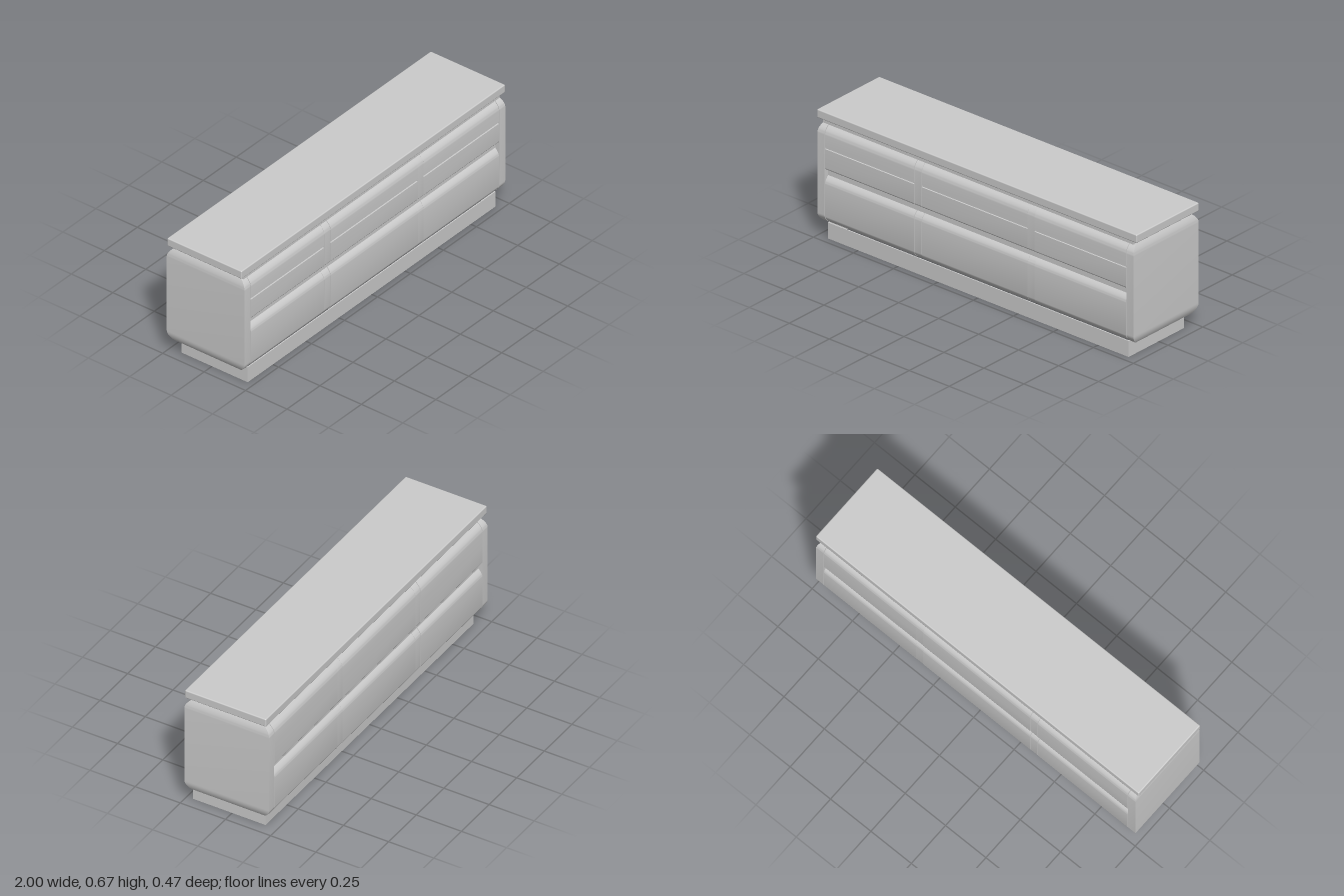
import * as THREE from 'three';
import { toCreasedNormals } from 'three/addons/utils/BufferGeometryUtils.js';
import { RoundedBoxGeometry } from 'three/addons/geometries/RoundedBoxGeometry.js';

const HALF_DEPTH = 0.235;
const BOTTOM = 0.083, TOP = 0.607;

export function createModel() {
  const model = new THREE.Group();
  const grey = new THREE.MeshStandardMaterial({ color: 0xcccccc });

  const add = (name, geometry, x = 0, y = 0, z = 0) => {
    const mesh = new THREE.Mesh(geometry, grey);
    mesh.name = name;
    mesh.position.set(x, y, z);
    model.add(mesh);
  };

  const box = (name, x0, x1, y0, y1, z0, z1) =>
    add(name, new THREE.BoxGeometry(x1 - x0, y1 - y0, z1 - z0),
      (x0 + x1) / 2, (y0 + y1) / 2, (z0 + z1) / 2);

  // Levels from bottom to top: height and how far front and back are set in
  function roundedLevels(y0, y1, low, high, groove) {
    const steps = 7, levels = [];
    for (let i = 0; i <= steps; i++) {
      const t = 1 - i / steps;
      levels.push({ y: y0 + low.h * (1 - t), front: low.d * t * t, back: low.d * t * t });
    }
    if (groove) {
      const a = groove - 0.005, b = groove + 0.005, e = 0.0005;
      [[a, 0], [a + e, 0.007], [b - e, 0.007], [b, 0]].forEach(([y, front]) =>
        levels.push({ y, front, back: 0 }));
    }
    for (let i = 0; i <= steps; i++) {
      const t = i / steps;
      levels.push({ y: y1 - high.h * (1 - t), front: high.d * t * t, back: high.d * t * t });
    }
    return levels;
  }

  // A box whose sides follow the levels; outer = 1 or -1 also rounds that end
  function profiled(name, x0, x1, levels, inset = 0, outer = 0) {
    const n = levels.length - 1;
    const geometry = new THREE.BoxGeometry(1, 1, 1, 1, n, 1);
    const p = geometry.attributes.position;
    for (let i = 0; i < p.count; i++) {
      const level = levels[Math.round((p.getY(i) + 0.5) * n)];
      const side = Math.sign(p.getX(i));
      const x = (side > 0 ? x1 : x0) - (side === outer ? outer * level.back * 0.45 : 0);
      const z = p.getZ(i) > 0
        ? HALF_DEPTH - inset - level.front
        : -HALF_DEPTH + inset + level.back;
      p.setXYZ(i, x, level.y, z);
    }
    add(name, toCreasedNormals(geometry, 0.5));
  }

  // Hollow plinth, set back at the rear
  const wall = 0.006;
  box('plinthFront', -0.94, 0.94, 0, 0.085, 0.215 - wall, 0.215);
  box('plinthBack', -0.94, 0.94, 0, 0.085, -0.185, -0.185 + wall);
  for (const s of [-1, 1]) {
    const edges = [s * 0.94, s * (0.94 - wall)].sort((a, b) => a - b);
    box('plinthEnd', edges[0], edges[1], 0, 0.085, -0.185 + wall, 0.215 - wall);
  }

  // Carcass behind the fronts, visible as the recessed rail between the rows
  box('carcass', -0.945, 0.945, BOTTOM + 0.001, TOP - 0.001, -0.2, 0.2);
  box('middleRail', -0.943, 0.943, 0.33, 0.375, -0.212, 0.212);

  // Rounded end panels
  const endLevels = roundedLevels(BOTTOM, TOP, { h: 0.048, d: 0.032 }, { h: 0.052, d: 0.033 });
  profiled('endPanel', 0.943, 0.988, endLevels, 0, 1);
  profiled('endPanel', -0.988, -0.943, endLevels, 0, -1);

  // Two rows of rounded fronts and the narrow uprights between them
  const rows = [
    { y0: 0.085, y1: 0.335, low: { h: 0.045, d: 0.032 }, high: { h: 0.04, d: 0.022 } },
    { y0: 0.367, y1: TOP, low: { h: 0.014, d: 0.015 }, high: { h: 0.052, d: 0.033 }, groove: 0.486 },
  ];
  const bays = [[-0.94, -0.385], [-0.335, 0.325], [0.37, 0.94]];
  const uprights = [[-0.383, -0.337], [0.325, 0.37]];
  for (const r of rows) {
    const front = roundedLevels(r.y0, r.y1, r.low, r.high, r.groove);
    const plain = roundedLevels(r.y0, r.y1, r.low, r.high);
    for (const [a, b] of bays) profiled(r.groove ? 'drawerFront' : 'doorFront', a, b, front);
    for (const [a, b] of uprights) profiled('upright', a, b, plain, 0.001);
  }

  // Recessed neck and top slab
  box('neck', -0.97, 0.97, TOP - 0.002, 0.628, -0.192, 0.215);
  add('topSlab', new RoundedBoxGeometry(2, 0.045, 0.45, 2, 0.006), 0, 0.6475, 0.001);

  return model;
}
